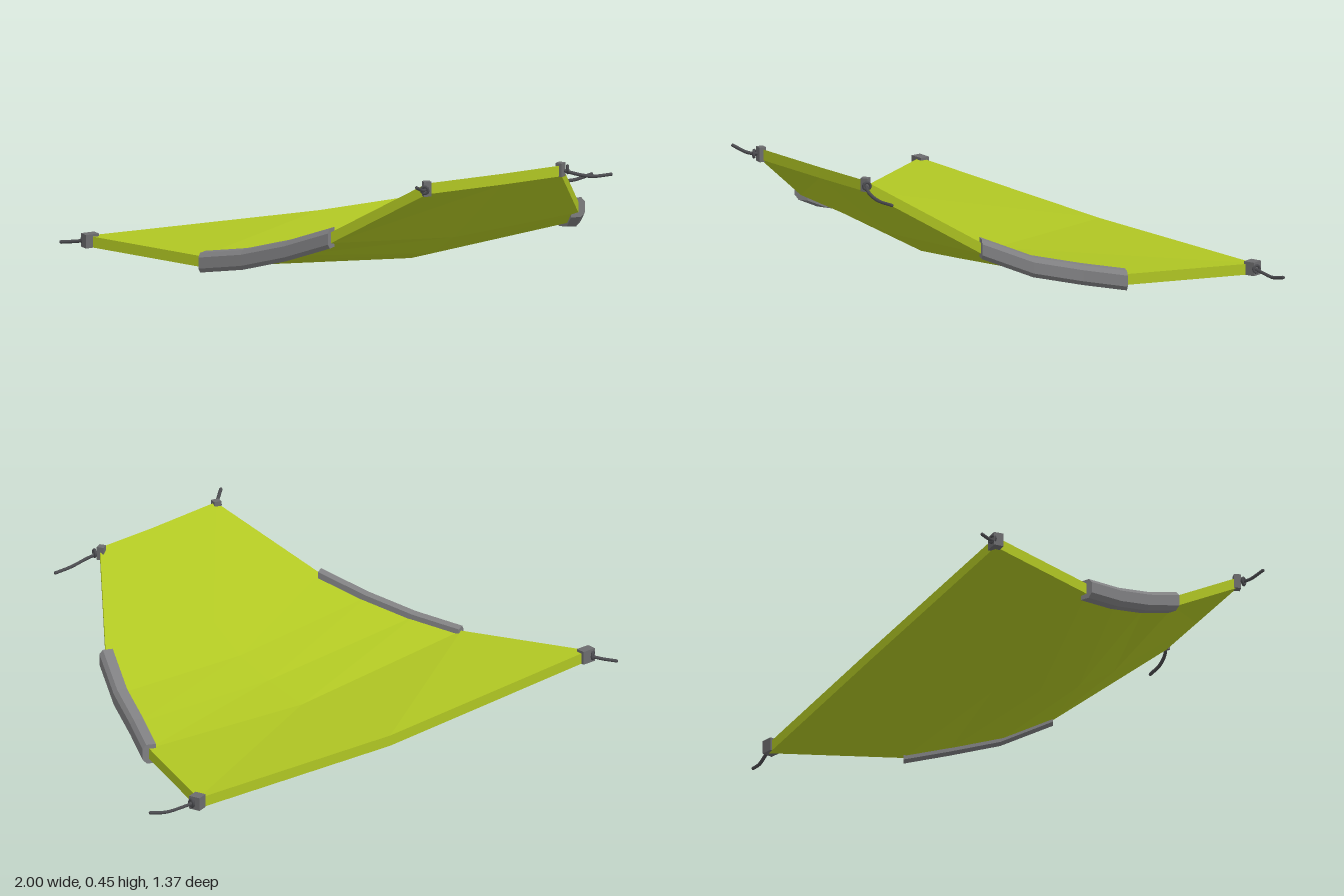
import * as THREE from 'three';

const canopyMat = new THREE.MeshStandardMaterial({ color: 0xb0c623, flatShading: true });
canopyMat.name = 'lime fabric';
const padMat = new THREE.MeshStandardMaterial({ color: 0x808082, flatShading: true });
padMat.name = 'grey padding';
const clampMat = new THREE.MeshStandardMaterial({ color: 0x6c6c6e, flatShading: true });
clampMat.name = 'corner grey';
const ropeMat = new THREE.MeshStandardMaterial({ color: 0x4c4c50 });
ropeMat.name = 'dark rope';

// Edge and centre lines of the panel's top face, front to back
const LEFT = [[-0.43, 0.44, 0.61], [-0.585, 0.232, 0.28], [-0.655, 0.17, 0.13],
  [-0.725, 0.122, -0.02], [-0.79, 0.093, -0.17], [-0.945, 0.102, -0.605]];
const MID = [[-0.13, 0.435, 0.625], [-0.11, 0.195, 0.32], [-0.1, 0.115, 0.19],
  [-0.09, 0.07, 0.05], [-0.07, 0.04, -0.12], [-0.03, 0.072, -0.56]];
const RIGHT = [[0.10, 0.435, 0.64], [0.37, 0.222, 0.36], [0.46, 0.15, 0.21],
  [0.54, 0.112, 0.06], [0.618, 0.085, -0.07], [0.81, 0.087, -0.475]];
const THICK = 0.037;

// Closed solid through rings (clockwise as seen from the front), with both ends capped
function loft(rings) {
  const pos = [];
  const n = rings[0].length;
  const quad = (a, b, c, d) => pos.push(...a, ...b, ...c, ...a, ...c, ...d);
  for (let i = 0; i < rings.length - 1; i++) {
    for (let j = 0; j < n; j++) {
      const k = (j + 1) % n;
      quad(rings[i][j], rings[i][k], rings[i + 1][k], rings[i + 1][j]);
    }
  }
  const first = rings[0], last = rings[rings.length - 1];
  for (let j = 0; j < n / 2 - 1; j++) {
    quad(first[n - 1 - j], first[n - 2 - j], first[j + 1], first[j]);
    quad(last[j], last[j + 1], last[n - 2 - j], last[n - 1 - j]);
  }
  const g = new THREE.BufferGeometry();
  g.setAttribute('position', new THREE.Float32BufferAttribute(pos, 3));
  g.computeVertexNormals();
  return g;
}

function add(parent, name, geometry, material) {
  const mesh = new THREE.Mesh(geometry, material);
  mesh.name = name;
  parent.add(mesh);
  return mesh;
}

// Chamfered sleeve that wraps the curved part of one side edge
const SLEEVE = [[-0.024, 0.014], [0.01, 0.014], [0.022, 0.0],
  [0.022, -0.038], [0.008, -0.054], [-0.024, -0.054]];
function sleeve(edge, side) {
  const rings = [];
  for (let i = 1; i <= 4; i++) {
    const a = edge[Math.max(i - 1, 1)], b = edge[Math.min(i + 1, 4)], p = edge[i];
    const len = Math.hypot(b[0] - a[0], b[2] - a[2]);
    const nx = -side * (b[2] - a[2]) / len, nz = side * (b[0] - a[0]) / len;
    const ring = SLEEVE.map(([u, v]) => [p[0] + nx * u, p[1] + v, p[2] + nz * u]);
    rings.push(side > 0 ? ring : ring.reverse());
  }
  return loft(rings);
}

// Corner fitting: clamp block, eyelet and rope
function corner(parent, name, p, size, yaw, ropePoints) {
  const group = new THREE.Group();
  group.name = name;
  parent.add(group);
  const block = add(group, 'clamp', new THREE.BoxGeometry(...size), clampMat);
  block.position.set(p[0], p[1] - 0.018, p[2]);
  block.rotation.y = yaw;
  const dir = new THREE.Vector3(ropePoints[0][0] - p[0], 0, ropePoints[0][2] - p[2]).normalize();
  const eye = add(group, 'eyelet', new THREE.TorusGeometry(0.012, 0.005, 6, 10), ropeMat);
  eye.position.set(p[0], p[1] - 0.018, p[2]).addScaledVector(dir, 0.024);
  eye.rotation.y = Math.atan2(dir.x, dir.z);
  const path = [[p[0], p[1] - 0.018, p[2]], ...ropePoints].map(q => new THREE.Vector3(...q));
  add(group, 'rope', new THREE.TubeGeometry(new THREE.CatmullRomCurve3(path), 12, 0.006, 6), ropeMat);
  const tip = add(group, 'ropeEnd', new THREE.SphereGeometry(0.006, 6, 4), ropeMat);
  tip.position.copy(path[path.length - 1]);
}

export function createModel() {
  const model = new THREE.Group();
  model.name = 'hangingPanel';

  // Sagging fabric slab
  const down = p => [p[0], p[1] - THICK, p[2]];
  const rings = LEFT.map((l, i) => [l, MID[i], RIGHT[i], down(RIGHT[i]), down(MID[i]), down(l)]);
  add(model, 'fabricPanel', loft(rings), canopyMat);

  // Edge sleeves
  add(model, 'leftSleeve', sleeve(RIGHT, 1), padMat);
  add(model, 'rightSleeve', sleeve(LEFT, -1), padMat);

  // Corner fittings
  corner(model, 'backRightCorner', [-0.937, 0.105, -0.6], [0.05, 0.046, 0.034], -0.1,
    [[-0.965, 0.078, -0.645], [-0.995, 0.072, -0.685]]);
  corner(model, 'backLeftCorner', [0.807, 0.091, -0.468], [0.04, 0.046, 0.04], 0.2,
    [[0.87, 0.068, -0.456], [0.93, 0.066, -0.443], [0.995, 0.08, -0.43]]);
  corner(model, 'frontLeftCorner', [0.1, 0.438, 0.633], [0.026, 0.046, 0.024], 0.4,
    [[0.14, 0.405, 0.658], [0.2, 0.39, 0.672], [0.275, 0.388, 0.678]]);
  corner(model, 'frontRightCorner', [-0.43, 0.44, 0.608], [0.026, 0.05, 0.024], -0.3,
    [[-0.465, 0.425, 0.636], [-0.51, 0.446, 0.662]]);

  return model;
}
